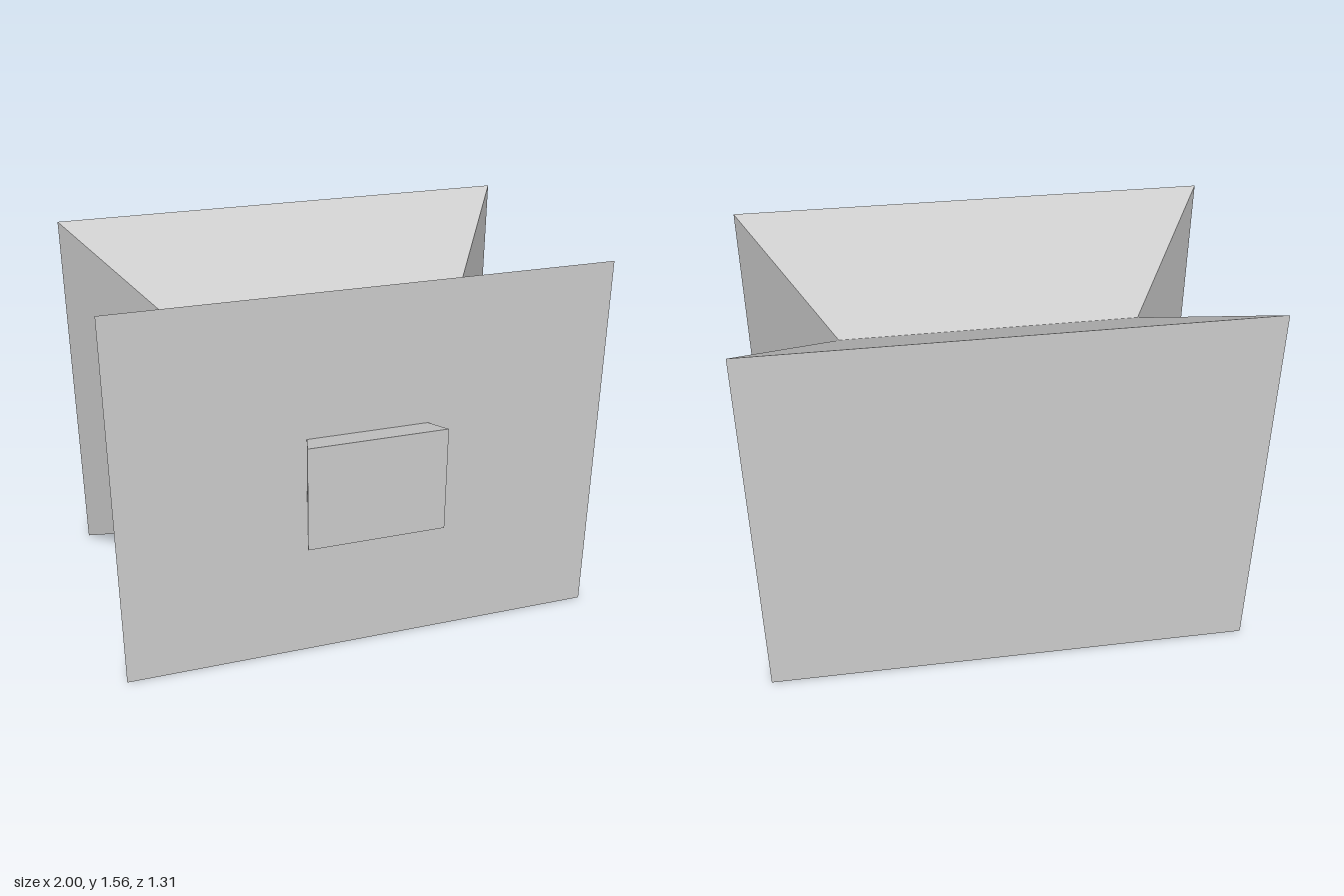
import * as THREE from 'three';

const CENTRE_Y = 0.778;

// Tapered block along z: [width, height] at the back and at the front.
function taperedBlock(name, back, front, zBack, zFront, material) {
  const geometry = new THREE.BoxGeometry(1, 1, 1);
  const pos = geometry.attributes.position;
  for (let i = 0; i < pos.count; i++) {
    const isFront = pos.getZ(i) > 0;
    const [w, h] = isFront ? front : back;
    pos.setXYZ(i, pos.getX(i) * w, pos.getY(i) * h + CENTRE_Y, isFront ? zFront : zBack);
  }
  geometry.computeVertexNormals();
  const mesh = new THREE.Mesh(geometry, material);
  mesh.name = name;
  return mesh;
}

export function createModel() {
  const model = new THREE.Group();
  model.name = 'waistedBlock';
  const grey = new THREE.MeshStandardMaterial({ color: 0xcccccc, flatShading: true });

  const outer = [2, 1.556];
  const waist = [1.22, 0.949];
  const waistZ = -0.064;

  // Two flared halves meeting at a narrow waist
  model.add(taperedBlock('backFlare', outer, waist, -0.654, waistZ, grey));
  model.add(taperedBlock('frontFlare', waist, outer, waistZ, 0.526, grey));

  // Small knob on the front, widening outwards
  model.add(taperedBlock('frontKnob', [0.494, 0.384], [0.564, 0.438], 0.526, 0.654, grey));

  return model;
}
